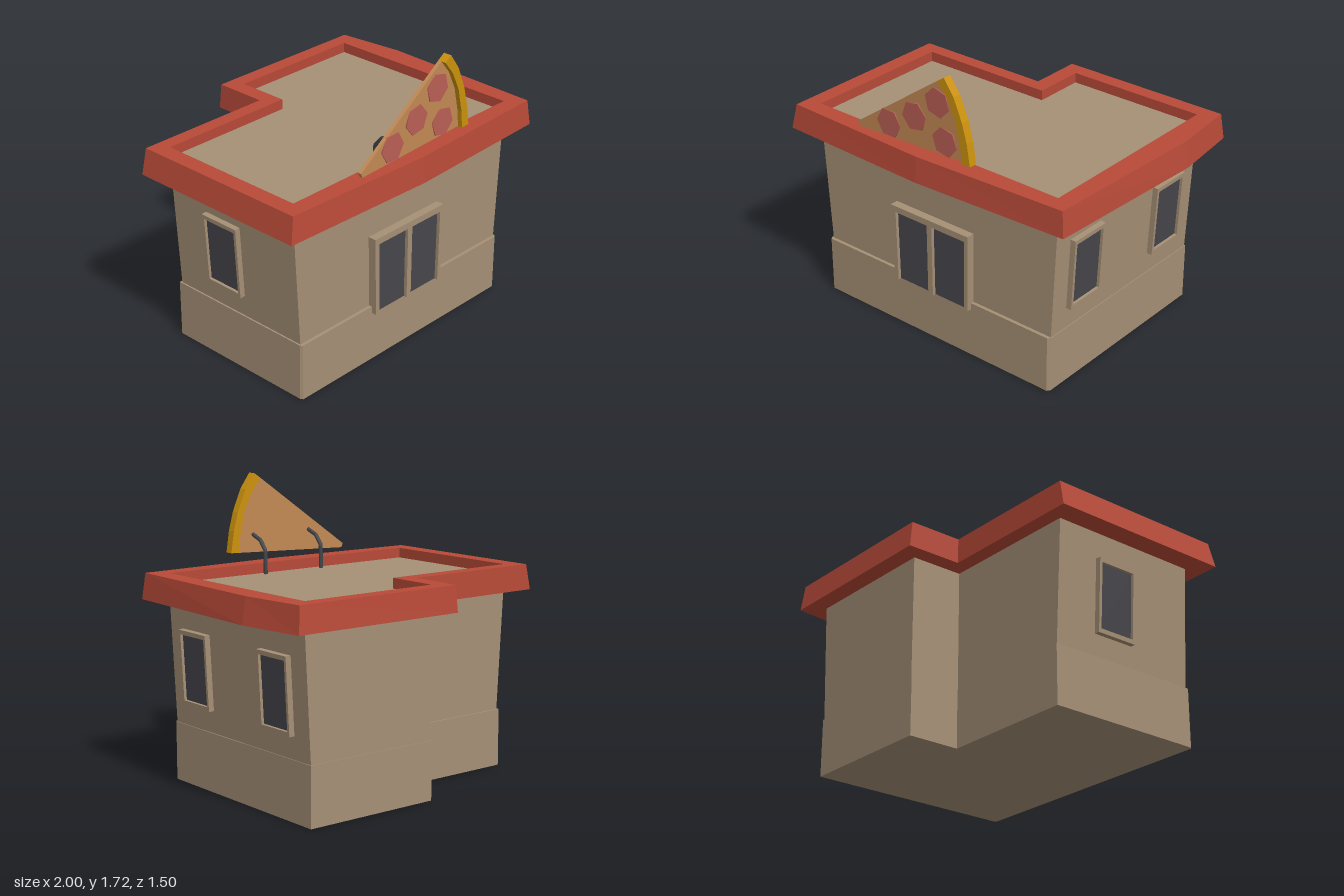
import * as THREE from 'three';

const paint = (name, color, double) => {
  const m = new THREE.MeshStandardMaterial({ color });
  m.name = name;
  if (double) m.side = THREE.DoubleSide;
  return m;
};

// Skin between outlines of [x, z] points at given heights, with optional flat caps
function loft(rings, capBottom, capTop) {
  const pos = [];
  const tri = (...pts) => pts.forEach((p) => pos.push(...p));
  const at = (ring, i) => {
    const [x, z] = ring.pts[i % ring.pts.length];
    return [x, ring.y, z];
  };
  for (let r = 0; r < rings.length - 1; r++) {
    for (let i = 0; i < rings[r].pts.length; i++) {
      const a = at(rings[r], i), b = at(rings[r], i + 1);
      const a2 = at(rings[r + 1], i), b2 = at(rings[r + 1], i + 1);
      tri(a, a2, b2, a, b2, b);
    }
  }
  const cap = (ring, up) => {
    const v = ring.pts.map(([x, z]) => new THREE.Vector2(x, z));
    for (const [i, j, k] of THREE.ShapeUtils.triangulateShape(v, [])) {
      const facesUp = THREE.ShapeUtils.area([v[i], v[j], v[k]]) < 0;
      if (facesUp === up) tri(at(ring, i), at(ring, j), at(ring, k));
      else tri(at(ring, i), at(ring, k), at(ring, j));
    }
  };
  if (capBottom) cap(rings[0], false);
  if (capTop) cap(rings[rings.length - 1], true);
  const g = new THREE.BufferGeometry();
  g.setAttribute('position', new THREE.Float32BufferAttribute(pos, 3));
  g.computeVertexNormals();
  return g;
}

const outline = (pts) => new THREE.Shape(pts.map(([x, y]) => new THREE.Vector2(x, y)));
const rect = (x0, y0, x1, y1) => [[x0, y0], [x1, y0], [x1, y1], [x0, y1]];
const extrude = (shape, depth) => new THREE.ExtrudeGeometry(shape, { depth, bevelEnabled: false });

export function createModel() {
  const model = new THREE.Group();
  model.name = 'pizzaShop';
  const wall = paint('tan wall', 0xa69076);
  const red = paint('red roof', 0xb84a38);
  const glass = paint('dark glass', 0x47464c);
  const crustColor = paint('golden crust', 0xcc920c);
  const cheeseColor = paint('baked cheese', 0xc38a55);
  const pepperoniColor = paint('pepperoni', 0xbb5f55);
  const metal = paint('dark metal', 0x43474b);

  const add = (name, geometry, material, parent = model) => {
    const mesh = new THREE.Mesh(geometry, material);
    mesh.name = name;
    parent.add(mesh);
    return mesh;
  };

  // Base plinth with clipped front corners
  const basePts = [[-0.84, -0.34], [-0.03, -0.34], [-0.03, -0.65], [0.805, -0.65],
    [0.805, 0.605], [0.79, 0.62], [-0.83, 0.62], [-0.84, 0.605]];
  add('base', loft([{ y: 0, pts: basePts }, { y: 0.34, pts: basePts }], true, true), wall);

  // L-shaped walls leaning outwards; their top is the roof deck
  const wallPts = (left, right) => [[left, -0.33], [-0.02, -0.33], [-0.02, -0.645], [right, -0.645],
    [right, -0.33], [right, 0.6], [-0.02, 0.6], [left, 0.6]];
  const wallTop = wallPts(-0.872, 0.835);
  add('walls', loft([{ y: 0.3, pts: wallPts(-0.828, 0.798) }, { y: 1.05, pts: wallTop },
    { y: 1.14, pts: wallTop }], false, true), wall);

  // Roof rim: underside, sloped fascia, flat top and inner lip
  const rimLow = [[-1, -0.42], [-0.12, -0.42], [-0.12, -0.75], [0.952, -0.75],
    [1, -0.33], [0.952, 0.705], [-0.02, 0.747], [-1, 0.712]];
  const rimHigh = [[-0.97, -0.415], [-0.117, -0.415], [-0.117, -0.735], [0.935, -0.735],
    [0.975, -0.33], [0.935, 0.692], [-0.02, 0.732], [-0.97, 0.695]];
  add('roofRim', loft([{ y: 1.05, pts: wallTop }, { y: 1.05, pts: rimLow }, { y: 1.2, pts: rimHigh },
    { y: 1.2, pts: wallTop }, { y: 1.14, pts: wallTop }]), red);

  // Side windows, tilted with the wall
  function sideWindow(name, side, x, z, tilt) {
    const g = new THREE.Group();
    g.name = name;
    const frame = outline(rect(-0.13, -0.215, 0.13, 0.215));
    frame.holes.push(outline(rect(-0.113, -0.19, 0.113, 0.19)));
    add('windowFrame', extrude(frame, 0.045), wall, g).position.z = -0.012;
    add('windowGlass', new THREE.BoxGeometry(0.228, 0.382, 0.008), glass, g).position.z = 0.012;
    g.position.set(x, 0.685, z);
    g.rotation.set(tilt, side * Math.PI / 2, 0, 'YXZ');
    model.add(g);
  }
  sideWindow('rightFaceFrontWindow', 1, 0.817, 0.35, 0.05);
  sideWindow('rightFaceBackWindow', 1, 0.817, -0.385, 0.05);
  sideWindow('leftFaceWindow', -1, -0.85, 0.06, 0.059);

  // Double door: open-bottomed frame with a centre bar and two panes
  const door = new THREE.Group();
  door.name = 'door';
  const doorFrame = outline([[-0.29, 0.3], [-0.262, 0.3], [-0.268, 0.737], [-0.035, 0.737], [-0.035, 0.3],
    [0, 0.3], [0, 0.737], [0.236, 0.737], [0.23, 0.3], [0.255, 0.3], [0.262, 0.775], [-0.302, 0.775]]);
  add('doorFrame', extrude(doorFrame, 0.06), wall, door).position.z = 0.59;
  for (const x of [-0.15, 0.117]) {
    add('doorGlass', new THREE.BoxGeometry(0.234, 0.437, 0.04), glass, door).position.set(x, 0.5195, 0.61);
  }
  model.add(door);

  // Pizza slice sign
  const sign = new THREE.Group();
  sign.name = 'pizzaSign';
  const inner = [[0.3, 1.26], [0.29, 1.36], [0.258, 1.5], [0.205, 1.61], [0.14, 1.69]];
  const outer = [[0.185, 1.72], [0.25, 1.63], [0.305, 1.5], [0.335, 1.39], [0.355, 1.262]];
  add('cheese', extrude(outline([[-0.478, 1.255], [-0.468, 1.23], ...inner]), 0.022), cheeseColor, sign)
    .position.z = 0.678;
  add('crust', extrude(outline([...inner, ...outer]), 0.05), crustColor, sign).position.z = 0.678;
  for (const [x, y, turn] of [[-0.24, 1.32, 0], [-0.053, 1.418, 10], [0.112, 1.548, -15], [0.16, 1.335, -12]]) {
    const slice = new THREE.CylinderGeometry(0.086, 0.086, 0.012, 6).rotateX(Math.PI / 2);
    const mesh = add('pepperoni', slice, pepperoniColor, sign);
    mesh.rotation.z = THREE.MathUtils.degToRad(turn + 30);
    mesh.position.set(x, y, 0.7);
  }

  // Bent pipes holding the sign
  for (const x of [-0.212, 0.198]) {
    const path = new THREE.CurvePath();
    const pts = [[1.13, 0.555], [1.28, 0.558], [1.335, 0.605], [1.362, 0.68]]
      .map(([y, z]) => new THREE.Vector3(x, y, z));
    for (let i = 0; i < 3; i++) path.add(new THREE.LineCurve3(pts[i], pts[i + 1]));
    add('signSupport', new THREE.TubeGeometry(path, 24, 0.012, 8), metal, sign);
  }
  model.add(sign);
  return model;
}
